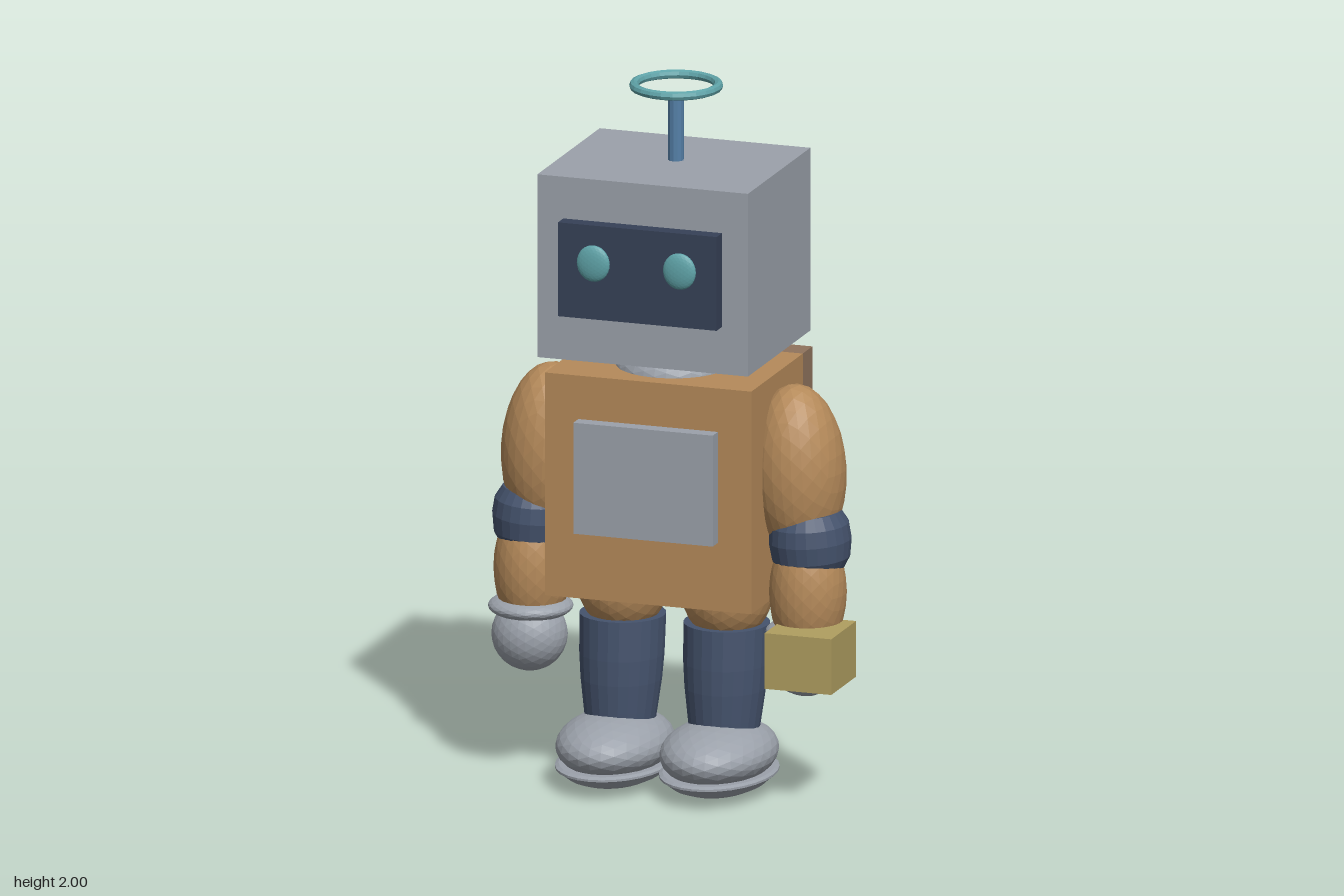
import * as THREE from 'three';

const CX = -0.007; // the body's mid-plane; the carried box pushes it off centre
const mat = (color) => new THREE.MeshStandardMaterial({ color, flatShading: true });
const MATS = {
  grey: mat(0x9ba1aa), tan: mat(0xb58a5a), navy: mat(0x45536d), visor: mat(0x364157),
  brown: mat(0x8f735d), teal: mat(0x5fa3a8), yellow: mat(0xb09e60), blue: mat(0x5580a8),
};

export function createModel() {
  const root = new THREE.Group();
  root.name = 'robot';

  const add = (parent, name, geo, m, x, y, z) => {
    const mesh = new THREE.Mesh(geo, MATS[m]);
    mesh.name = name;
    mesh.position.set(x, y, z);
    parent.add(mesh);
    return mesh;
  };
  // box given by its extents
  const box = (parent, name, m, x0, x1, y0, y1, z0, z1) =>
    add(parent, name, new THREE.BoxGeometry(x1 - x0, y1 - y0, z1 - z0), m,
      (x0 + x1) / 2, (y0 + y1) / 2, (z0 + z1) / 2);
  // faceted ellipsoid
  const ball = (parent, name, m, x, y, z, rx, ry, rz) =>
    add(parent, name, new THREE.IcosahedronGeometry(1, 4).scale(rx, ry, rz), m, x, y, z);
  const lathe = (pts, n = 24) =>
    new THREE.LatheGeometry(pts.map(([r, y]) => new THREE.Vector2(r, y)), n);

  // head and face
  const head = new THREE.Group();
  head.name = 'head';
  head.position.x = CX;
  root.add(head);
  box(head, 'skull', 'grey', -0.308, 0.308, 1.253, 1.775, -0.21, 0.305);
  box(head, 'visor', 'visor', -0.232, 0.232, 1.388, 1.656, 0.28, 0.349);
  for (const s of [-1, 1]) {
    ball(head, s > 0 ? 'leftEye' : 'rightEye', 'teal', s * 0.126, 1.55, 0.357, 0.048, 0.052, 0.016);
  }

  // antenna with its ring
  add(head, 'antennaRod', new THREE.CylinderGeometry(0.022, 0.022, 0.24, 12), 'blue', 0, 1.84, 0.03);
  const ring = new THREE.TorusGeometry(0.117, 0.013, 8, 24).rotateX(Math.PI / 2);
  add(head, 'antennaRing', ring, 'teal', 0, 1.987, 0.028);
  ball(head, 'neck', 'grey', 0, 1.19, 0.052, 0.16, 0.085, 0.16);

  // torso
  const torso = new THREE.Group();
  torso.name = 'torso';
  torso.position.x = CX;
  root.add(torso);
  box(torso, 'chest', 'tan', -0.302, 0.302, 0.562, 1.198, -0.165, 0.26);
  box(torso, 'chestPanel', 'grey', -0.204, 0.204, 0.757, 1.074, 0.24, 0.302);
  box(torso, 'backpack', 'brown', -0.255, 0.255, 0.687, 1.16, -0.377, -0.15);

  for (const s of [-1, 1]) {
    const side = s > 0 ? 'left' : 'right';

    // arm, hanging slightly outward and forward
    const arm = new THREE.Group();
    arm.name = side + 'Arm';
    arm.position.x = CX;
    root.add(arm);
    const upper = ball(arm, 'upperArm', 'tan', s * 0.364, 0.925, 0.048, 0.133, 0.245, 0.139);
    upper.rotation.z = s * 0.05;
    const band = lathe([[0, -0.09], [0.088, -0.085], [0.108, -0.05], [0.115, 0],
      [0.11, 0.045], [0.09, 0.08], [0, 0.095]]);
    const elbow = add(arm, 'elbow', band, 'navy', s * 0.404, 0.735, 0.063);
    elbow.rotation.z = s * 0.06;
    elbow.scale.z = 1.04;
    ball(arm, 'forearm', 'tan', s * 0.403, 0.59, 0.078, 0.107, 0.19, 0.111);
    ball(arm, 'cuff', 'grey', s * 0.406, 0.48, 0.083, 0.118, 0.036, 0.118);
    ball(arm, 'hand', 'grey', s * 0.404, 0.403, 0.098, 0.106, 0.104, 0.102);

    // leg
    const leg = new THREE.Group();
    leg.name = side + 'Leg';
    leg.position.x = CX + s * 0.152;
    root.add(leg);
    ball(leg, 'thigh', 'tan', 0, 0.575, 0.036, 0.13, 0.16, 0.132);
    const shin = lathe([[0, 0.15], [0.095, 0.15], [0.103, 0.21], [0.113, 0.29],
      [0.118, 0.36], [0.12, 0.472], [0, 0.472]]);
    // lean the shin forward toward the ankle
    const p = shin.attributes.position;
    for (let i = 0; i < p.count; i++) p.setZ(i, p.getZ(i) - (p.getY(i) - 0.15) * 0.07);
    add(leg, 'shin', shin, 'navy', 0, 0, 0.062);

    // boot over a thin-rimmed rounded sole
    ball(leg, 'boot', 'grey', 0, 0.118, 0.102, 0.157, 0.088, 0.222);
    const sole = lathe([[0, 0.003], [0.35, 0.008], [0.6, 0.017], [0.8, 0.032],
      [0.93, 0.051], [1, 0.059], [1, 0.065], [0.94, 0.07], [0, 0.07]], 28);
    add(leg, 'sole', sole.scale(0.158, 1, 0.224), 'grey', 0, 0, 0.102);
  }

  // box carried in the left hand
  box(root, 'carriedBox', 'yellow', 0.333, 0.528, 0.352, 0.511, 0.053, 0.258);
  return root;
}
